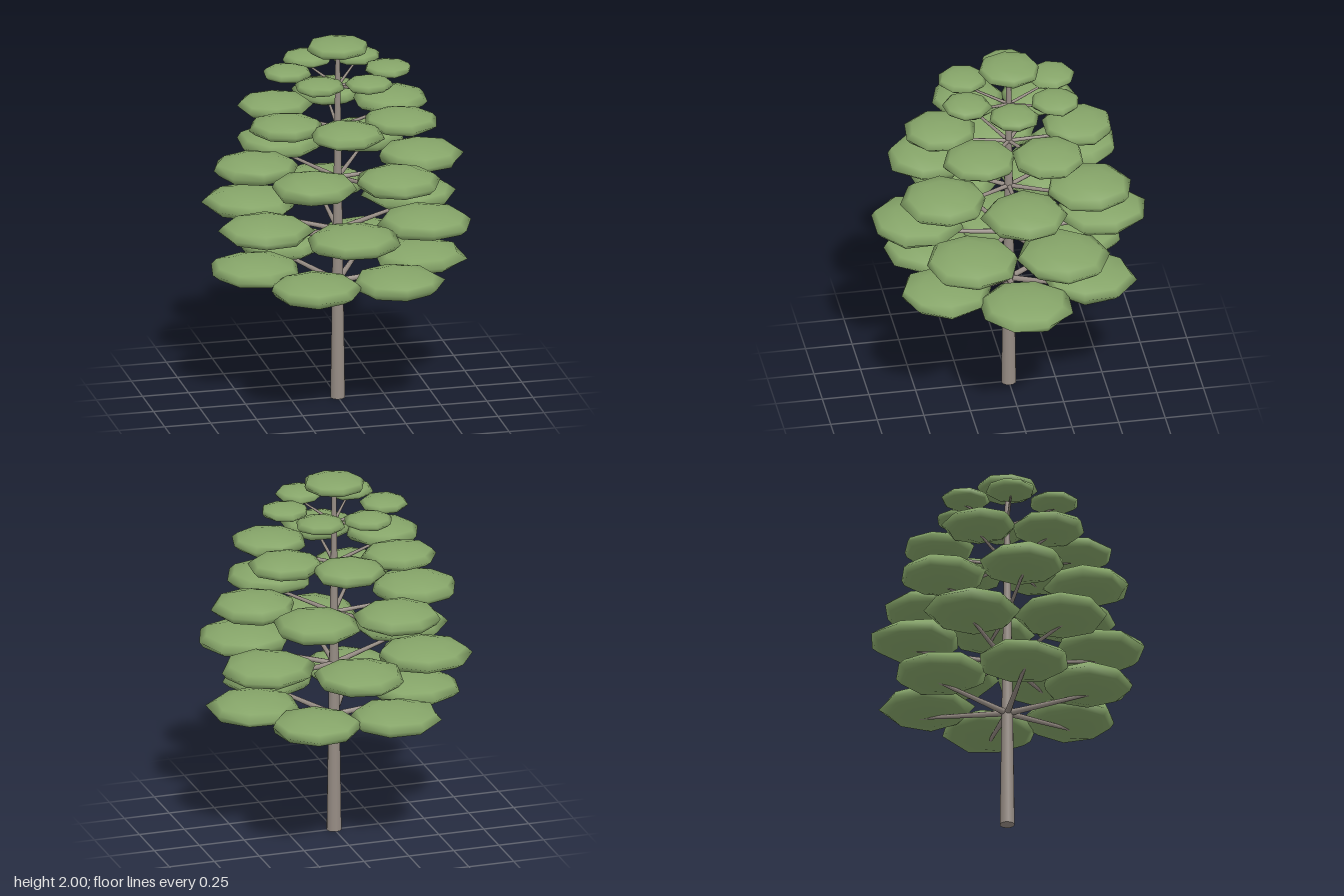
import * as THREE from 'three';
import { mergeVertices } from 'three/addons/utils/BufferGeometryUtils.js';

const leaf = new THREE.MeshStandardMaterial({ color: 0x86a569 });
leaf.name = 'leaf green';
const bark = new THREE.MeshStandardMaterial({ color: 0x968c84 });
bark.name = 'grey bark';

// small seeded generator, returns 0..1
let seed = 11;
const rand = () => (seed = (seed * 16807) % 2147483647) / 2147483647;

// flattened, slightly uneven eight-sided cushion of leaves
function makePad(radius, halfHeight, turn) {
  const geo = new THREE.SphereGeometry(1, 8, 6);
  geo.deleteAttribute('uv');
  geo.deleteAttribute('normal');
  const merged = mergeVertices(geo, 1e-4);
  const pos = merged.attributes.position;
  for (let i = 0; i < pos.count; i++) {
    const k = radius * (0.94 + 0.12 * rand());
    const lift = halfHeight * (0.95 + 0.1 * rand());
    pos.setXYZ(i, pos.getX(i) * k, pos.getY(i) * lift, pos.getZ(i) * k);
  }
  merged.rotateY(turn);
  merged.computeVertexNormals();
  const mesh = new THREE.Mesh(merged, leaf);
  mesh.name = 'leafPad';
  return mesh;
}

// tapered limb between two points
function makeLimb(from, to, r0, r1, name) {
  const dir = to.clone().sub(from);
  const mesh = new THREE.Mesh(new THREE.CylinderGeometry(r1, r0, dir.length(), 8), bark);
  mesh.position.copy(from).addScaledVector(dir, 0.5);
  mesh.quaternion.setFromUnitVectors(new THREE.Vector3(0, 1, 0), dir.normalize());
  mesh.name = name;
  return mesh;
}

export function createModel() {
  const tree = new THREE.Group();
  tree.name = 'tieredTree';

  // trunk
  const trunk = new THREE.Mesh(new THREE.CylinderGeometry(0.012, 0.04, 1.95, 12), bark);
  trunk.position.y = 0.975;
  trunk.name = 'trunk';
  tree.add(trunk);

  // tiers: branch root height, pad height, pad distance, pad radius, half height, first angle
  const tiers = [
    [0.65, 0.75, 0.45, 0.245, 0.065, 0],
    [0.94, 1.037, 0.49, 0.25, 0.066, 33],
    [1.23, 1.318, 0.45, 0.23, 0.066, 0],
    [1.51, 1.59, 0.36, 0.197, 0.055, 34],
    [1.74, 1.824, 0.27, 0.132, 0.037, 5],
  ];
  tiers.forEach(([rootY, padY, dist, radius, half, offset], n) => {
    const tier = new THREE.Group();
    tier.name = `tier${n + 1}`;
    for (let i = 0; i < 6; i++) {
      const a = THREE.MathUtils.degToRad(offset + i * 60 + (rand() - 0.5) * 3);
      const c = Math.cos(a), s = Math.sin(a);
      const pad = makePad(radius, half, rand() * 0.8);
      pad.position.set(c * dist, padY, s * dist);
      const tip = dist * 1.1;
      const thick = 0.017 - n * 0.002;
      tier.add(pad, makeLimb(
        new THREE.Vector3(0, rootY, 0),
        new THREE.Vector3(c * tip, padY - half * 0.8, s * tip),
        thick, thick * 0.5, 'branch'));
    }
    tree.add(tier);
  });

  // crown
  const crown = makePad(0.17, 0.043, 0);
  crown.position.y = 1.955;
  crown.name = 'crownPad';
  tree.add(crown);

  return tree;
}
